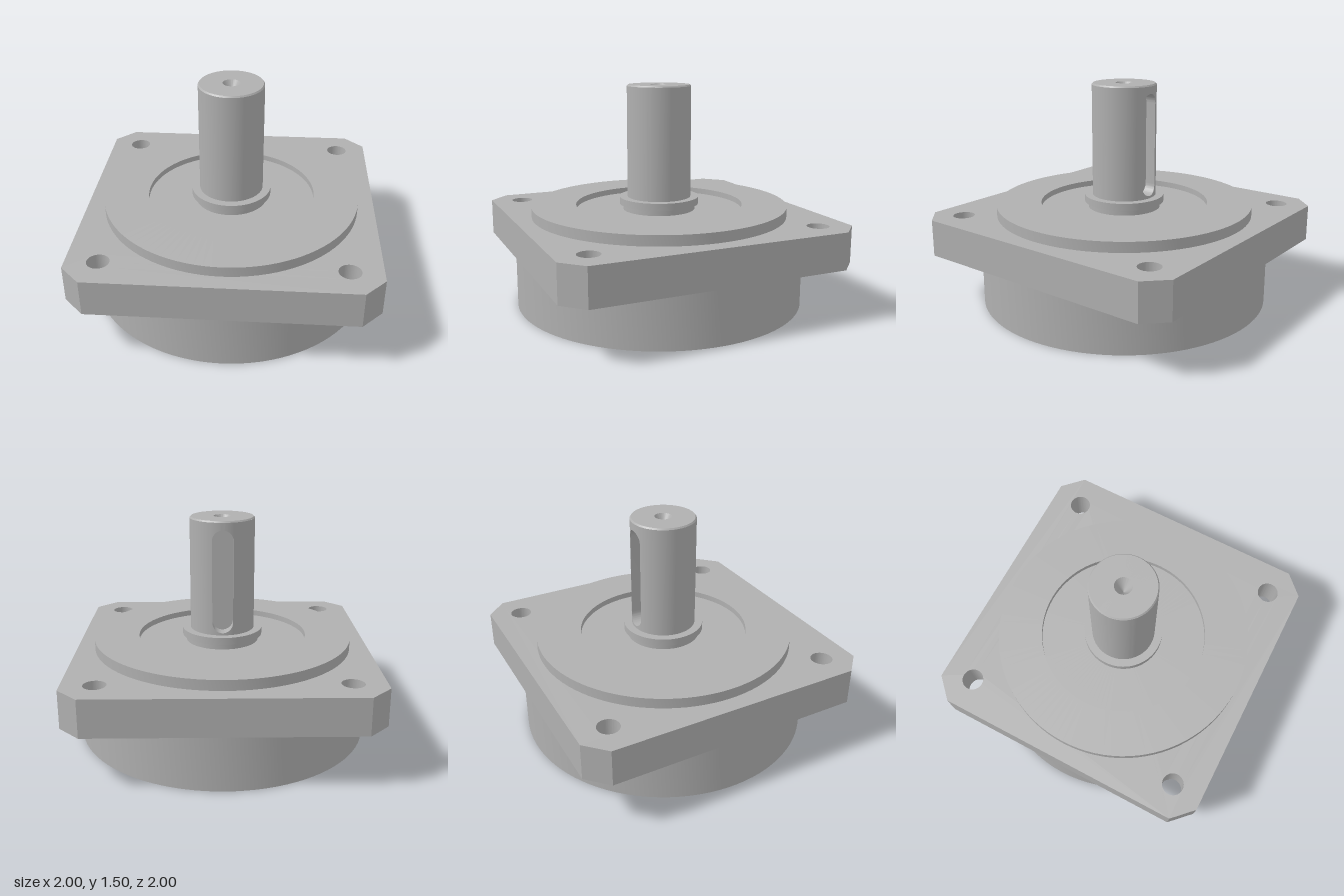
import * as THREE from 'three';
import { toCreasedNormals } from 'three/addons/utils/BufferGeometryUtils.js';

const steel = new THREE.MeshStandardMaterial({ color: 0xb0b0b0 });
steel.name = 'steel grey';

function part(name, geometry) {
  const mesh = new THREE.Mesh(toCreasedNormals(geometry, 0.4), steel);
  mesh.name = name;
  return mesh;
}

const lathe = (points) =>
  new THREE.LatheGeometry(points.map(([r, y]) => new THREE.Vector2(r, y)), 96);

// Upright plate with round holes [x, z, radius]
function plate(shape, holes, y, height) {
  for (const [x, z, r] of holes) {
    shape.holes.push(new THREE.Path().absarc(x, -z, r, 0, Math.PI * 2, true));
  }
  const geo = new THREE.ExtrudeGeometry(shape, { depth: height, bevelEnabled: false, curveSegments: 48 });
  return geo.rotateX(-Math.PI / 2).translate(0, y, 0);
}

// Surface ruled between two curves, each a function of t in 0..1
function ruled(a, b, n) {
  const pos = [];
  for (let i = 0; i < n; i++) {
    const a0 = a(i / n), a1 = a((i + 1) / n), b0 = b(i / n), b1 = b((i + 1) / n);
    pos.push(...a0, ...a1, ...b1, ...a0, ...b1, ...b0);
  }
  const geo = new THREE.BufferGeometry();
  geo.setAttribute('position', new THREE.Float32BufferAttribute(pos, 3));
  geo.computeVertexNormals();
  return geo;
}

function createShaft() {
  const shaft = new THREE.Group();
  shaft.name = 'shaft';
  const R = 0.22, bottom = 0.73, top = 1.495;
  const w = 0.07, low = 0.815, high = 1.375, floorZ = -0.135;
  const onShaft = (x, y) => [x, y, -Math.sqrt(R * R - x * x)];

  // Full-height wall around the shaft, leaving a gap for the keyway at the back
  const gap = Math.asin(w / R);
  const around = (y) => (t) => {
    const a = gap + t * (Math.PI * 2 - 2 * gap);
    return [-R * Math.sin(a), y, -R * Math.cos(a)];
  };
  shaft.add(part('shaftWall', ruled(around(bottom), around(top), 96)));

  // Wall strips below and above the keyway
  const across = (yOf) => (t) => {
    const u = (t - 0.5) * Math.PI;
    return onShaft(-w * Math.sin(u), yOf(w * Math.cos(u)));
  };
  shaft.add(part('wallBelowKeyway', ruled(across(() => bottom), across((c) => low - c), 24)));
  shaft.add(part('wallAboveKeyway', ruled(across((c) => high + c), across(() => top), 24)));

  // Keyway sides and floor
  const outline = new THREE.Shape();
  outline.absarc(0, high, w, 0, Math.PI, false);
  outline.absarc(0, low, w, Math.PI, Math.PI * 2, false);
  outline.closePath();
  const loop = outline.getPoints(16);
  const at = (t) => loop[Math.round(t * (loop.length - 1))];
  shaft.add(part('keywaySides', ruled(
    (t) => onShaft(-at(t).x, at(t).y),
    (t) => [-at(t).x, at(t).y, floorZ], loop.length - 1)));
  const floor = new THREE.ShapeGeometry(outline, 16).rotateY(Math.PI).translate(0, 0, floorZ);
  shaft.add(part('keywayFloor', floor));

  // Chamfered end with centre hole
  shaft.add(part('shaftEnd', lathe([[R, top], [0.212, 1.505], [0.058, 1.505], [0, 1.405]])));
  return shaft;
}

export function createModel() {
  const model = new THREE.Group();
  model.name = 'flangedGearUnit';

  // Round rear body with a centre hole and four rim holes
  const disc = new THREE.Shape().absarc(0, 0, 1, 0, Math.PI * 2, false);
  const bodyHoles = [[0, 0, 0.058]];
  for (let i = 0; i < 4; i++) {
    const a = Math.PI / 8 + i * Math.PI / 2;
    bodyHoles.push([0.89 * Math.sin(a), -0.89 * Math.cos(a), 0.058]);
  }
  model.add(part('body', plate(disc, bodyHoles, 0, 0.36)));

  // Square flange with cut corners and mounting holes
  const c = 0.865;
  const square = new THREE.Shape([
    [1, -c], [1, c], [c, 1], [-c, 1], [-1, c], [-1, -c], [-c, -1], [c, -1],
  ].map(([x, y]) => new THREE.Vector2(x, y)));
  const mounts = [];
  for (const x of [-0.787, 0.787]) for (const z of [-0.787, 0.787]) mounts.push([x, z, 0.073]);
  model.add(part('flange', plate(square, mounts, 0.36, 0.25)));

  // Locating ring with its shallow recess
  model.add(part('pilotRing', lathe([
    [0.887, 0.61], [0.887, 0.68], [0.58, 0.68], [0.58, 0.64], [0.25, 0.64],
  ])));

  // Collar at the foot of the shaft
  model.add(part('shaftCollar', lathe([
    [0.25, 0.64], [0.25, 0.68], [0.275, 0.68], [0.275, 0.73], [0.2, 0.73],
  ])));

  model.add(createShaft());
  return model;
}
